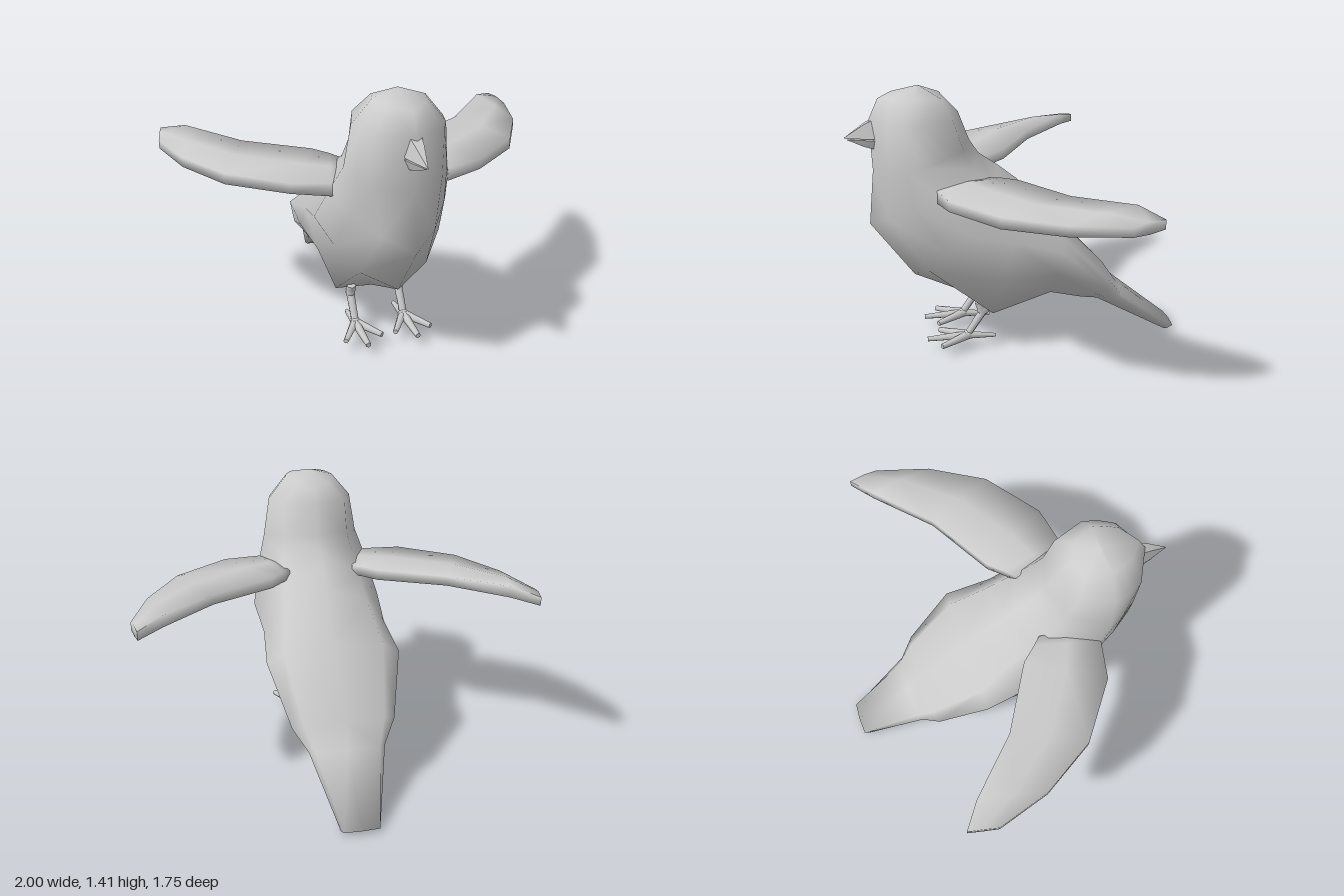
import * as THREE from 'three';
import { toCreasedNormals } from 'three/addons/utils/BufferGeometryUtils.js';

const material = new THREE.MeshStandardMaterial({ color: 0xcccccc });

// Closed skin through rings of [x, y, z] points, capped at both ends.
function loft(rings, crease) {
  const n = rings[0].length;
  const points = rings.flat();
  const v = points.map((p) => new THREE.Vector3(...p));
  const index = [];
  for (let r = 0; r < rings.length - 1; r++) {
    for (let i = 0; i < n; i++) {
      const a = r * n + i, b = r * n + (i + 1) % n, c = b + n, d = a + n;
      // Split each quad along its shorter diagonal, which keeps both sides alike.
      if (v[a].distanceTo(v[c]) < v[b].distanceTo(v[d])) index.push(a, b, c, a, c, d);
      else index.push(a, b, d, b, c, d);
    }
  }
  const last = rings.length - 1;
  [0, last].forEach((r) => {
    const c = v.length;
    v.push(new THREE.Vector3());
    for (let i = 0; i < n; i++) {
      const a = r * n + i, b = r * n + (i + 1) % n;
      v[c].addScaledVector(v[a], 1 / n);
      if (r === 0) index.push(c, b, a);
      else index.push(c, a, b);
    }
  });
  // Turn the faces outward if the enclosed volume is negative.
  let volume = 0;
  for (let i = 0; i < index.length; i += 3) {
    volume += v[index[i]].dot(v[index[i + 1]].clone().cross(v[index[i + 2]]));
  }
  if (volume < 0) index.reverse();
  const geometry = new THREE.BufferGeometry().setFromPoints(v);
  geometry.setIndex(index);
  return toCreasedNormals(geometry, crease);
}

function add(parent, name, geometry) {
  const mesh = new THREE.Mesh(geometry, material);
  mesh.name = name;
  parent.add(mesh);
  return mesh;
}

// Tapered limb between two points.
function limb(parent, name, from, to, r0, r1) {
  const a = new THREE.Vector3(...from), b = new THREE.Vector3(...to);
  const dir = b.clone().sub(a);
  const mesh = add(parent, name, new THREE.CylinderGeometry(r1, r0, dir.length(), 6));
  mesh.position.copy(a).add(b).multiplyScalar(0.5);
  mesh.quaternion.setFromUnitVectors(new THREE.Vector3(0, 1, 0), dir.normalize());
}

// Body sections, tail to crown: front z, y, back z, y, half width, then
// the front inset and its share of the width, the place of the widest point,
// the share of the width near the back, and a lift of the sides.
const bodySections = [
  [-0.82, 0.0, -0.88, 0.02, 0.095, 0.1, 0.95, 0.6, 0.95, 0],
  [-0.41, 0.23, -0.56, 0.27, 0.195, 0.1, 0.6, 0.8, 0.85, 0],
  [-0.31, 0.25, -0.48, 0.39, 0.265, 0.1, 0.58, 0.78, 0.78, 0],
  [-0.14, 0.28, -0.2, 0.69, 0.35, 0.13, 0.62, 0.79, 0.75, 0],
  [0.16, 0.21, 0.0, 0.9, 0.33, 0.02, 0.61, 0.66, 0.65, 0],
  [0.55, 0.39, 0.1, 0.98, 0.35, 0.15, 0.5, 0.57, 0.58, 0],
  [0.77, 0.69, 0.2, 1.05, 0.305, 0.17, 0.43, 0.62, 0.62, 0],
  [0.74, 0.98, 0.245, 1.12, 0.26, 0.17, 0.64, 0.5, 0.65, 0],
  [0.75, 1.24, 0.3, 1.27, 0.226, 0.2, 0.74, 0.55, 0.74, 0],
  [0.7, 1.35, 0.36, 1.335, 0.13, 0.2, 0.65, 0.55, 0.7, 0.03],
  [0.505, 1.41, 0.495, 1.41, 0.005, 0.2, 0.7, 0.5, 0.7, 0],
];

function bodyRing([fz, fy, bz, by, w, inset, front, wide, back, lift]) {
  const flank = [(inset + wide) / 2, (front + 1) * 0.53];
  const half = [[0, 0], [inset, front], flank, [wide, 1], [0.91, back], [1, 0]];
  const at = ([t, x], s) => [s * x * w, fy + (by - fy) * t + lift * x, fz + (bz - fz) * t];
  return [...half.map((p) => at(p, 1)), ...half.slice(1, 5).reverse().map((p) => at(p, -1))];
}

// Wing sections, root to tip: leading x, z, bottom, top; trailing x, z, bottom, top.
const wingSections = [
  [0.22, 0.42, 0.89, 0.945, 0.17, 0.15, 0.92, 0.965],
  [0.3, 0.435, 0.885, 0.95, 0.21, 0.11, 0.92, 0.975],
  [0.49, 0.395, 0.908, 0.96, 0.28, 0.03, 0.925, 0.98],
  [0.76, 0.19, 0.912, 0.968, 0.6, -0.16, 0.945, 0.995],
  [0.92, -0.08, 0.92, 0.97, 0.85, -0.41, 0.965, 1.025],
  [1.0, -0.35, 0.932, 0.975, 0.97, -0.5, 0.95, 0.995],
];

function wingRing([lx, lz, lb, lt, tx, tz, tb, tt], s) {
  const mx = s * (lx + tx) / 2, mz = (lz + tz) / 2;
  return [
    [s * lx, lb, lz], [s * lx, lt, lz],
    [mx, (lt + tt) / 2 + 0.01, mz],
    [s * tx, tt, tz], [s * tx, tb, tz],
    [mx, (lb + tb) / 2 - 0.005, mz],
  ];
}

// Beak half: pointed wedge with a rounded outer ridge.
function beakHalf(inner, outer, tip) {
  const ring = (f, z) => [[-0.05, inner], [0.05, inner], [0.03, outer], [-0.03, outer]]
    .map(([x, y]) => [x * f, tip[0] + (y - tip[0]) * f, z]);
  return loft([ring(1, 0.72), ring(0.72, 0.775), ring(0.03, tip[1])], 0.9);
}

export function createModel() {
  const bird = new THREE.Group();
  bird.name = 'bird';

  add(bird, 'bodyAndTail', loft(bodySections.map(bodyRing), 3));
  add(bird, 'upperBeak', beakHalf(1.153, 1.25, [1.151, 0.875]));
  add(bird, 'lowerBeak', beakHalf(1.146, 1.095, [1.144, 0.86]));

  for (const s of [1, -1]) {
    const side = s > 0 ? 'left' : 'right';
    add(bird, side + 'Wing', loft(wingSections.map((w) => wingRing(w, s)), 1.8));

    // Leg with three front toes and one back toe
    const leg = new THREE.Group();
    leg.name = side + 'Leg';
    leg.position.x = s * 0.135;
    bird.add(leg);
    limb(leg, 'thigh', [0, 0.265, 0.22], [0, 0.2, 0.2], 0.025, 0.025);
    const knee = add(leg, 'knee', new THREE.SphereGeometry(0.034, 8, 6));
    knee.position.set(0, 0.22, 0.2);
    knee.scale.x = 0.7;
    limb(leg, 'shin', [0, 0.21, 0.2], [0, 0.08, 0.285], 0.022, 0.02);
    const ankle = add(leg, 'ankle', new THREE.SphereGeometry(0.027, 8, 6));
    ankle.position.set(0, 0.077, 0.285);
    limb(leg, 'middleToe', [0, 0.075, 0.275], [0, 0.065, 0.5], 0.025, 0.014);
    for (const t of [1, -1]) {
      limb(leg, 'sideToe', [0, 0.075, 0.28], [t * 0.098, 0.066, 0.43], 0.024, 0.014);
    }
    limb(leg, 'backToe', [0, 0.075, 0.3], [0, 0.061, 0.135], 0.025, 0.011);
  }
  return bird;
}
